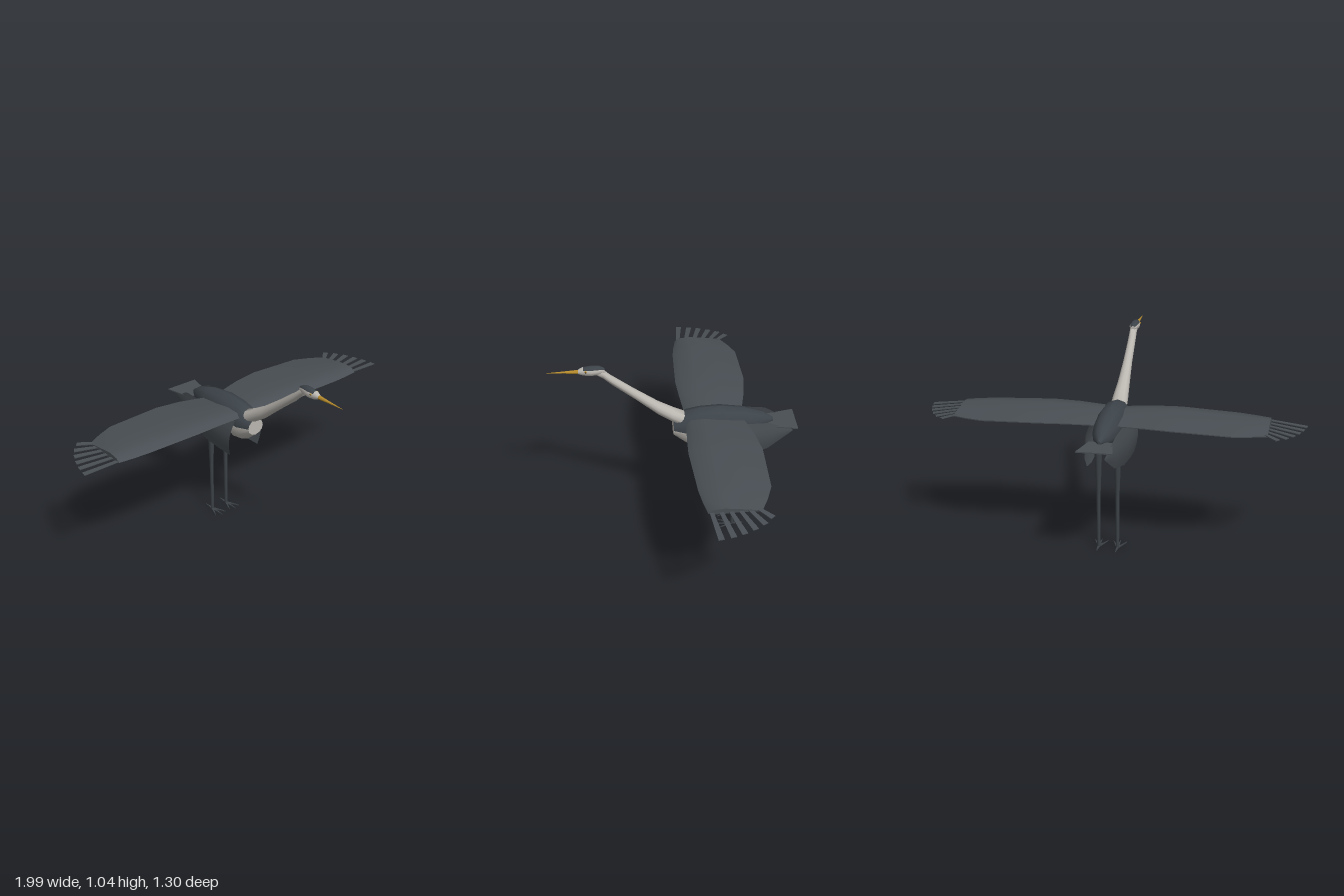
import * as THREE from 'three';
import { toCreasedNormals } from 'three/addons/utils/BufferGeometryUtils.js';

const flat = (name, color, side = THREE.FrontSide) => {
  const m = new THREE.MeshStandardMaterial({ color, side });
  m.name = name;
  return m;
};

// Capped skin over rings of [x, y, z]; isSecond(i, j) sends faces to material 1
function loft(rings, { flip = false, crease = 0.7, isSecond = () => false } = {}) {
  const n = rings[0].length;
  const position = rings.flatMap(r => (flip ? [...r].reverse() : r).flat());
  const faces = [[], []];
  for (let i = 0; i < rings.length - 1; i++) {
    for (let j = 0; j < n; j++) {
      const k = (j + 1) % n, f = i * n, b = f + n;
      faces[isSecond(i, j) ? 1 : 0].push(f + j, b + j, b + k, f + j, b + k, f + k);
    }
  }
  const last = (rings.length - 1) * n;
  for (let j = 1; j < n - 1; j++) {
    faces[isSecond(0, n - 1) ? 1 : 0].push(0, j, j + 1);
    faces[0].push(last, last + j + 1, last + j);
  }
  const g = new THREE.BufferGeometry();
  g.setAttribute('position', new THREE.Float32BufferAttribute(position, 3));
  g.setIndex([...faces[0], ...faces[1]]);
  const out = toCreasedNormals(g, crease);
  out.clearGroups();
  out.addGroup(0, faces[0].length, 0);
  out.addGroup(faces[0].length, faces[1].length, 1);
  return out;
}

// Elliptical rings from [z, y, halfWidth, halfHeight], listed front to back
const ovals = (sections, n = 12) => sections.map(([z, y, rx, ry]) =>
  Array.from({ length: n }, (_, j) => {
    const a = (j / n) * Math.PI * 2;
    return [rx * Math.cos(a), y + ry * Math.sin(a), z];
  }));

// Thin horizontal plate from [x, z] corners
function plate(corners, thick) {
  const shape = new THREE.Shape(corners.map(([x, z]) => new THREE.Vector2(x, -z)));
  return new THREE.ExtrudeGeometry(shape, { depth: thick, bevelEnabled: false }).rotateX(-Math.PI / 2);
}

// Straight tapering strip between two [x, z] points
function strip(a, b, wa, wb, thick) {
  const dx = b[0] - a[0], dz = b[1] - a[1], l = Math.hypot(dx, dz);
  const nx = -dz / l / 2, nz = dx / l / 2;
  return plate([[a[0] + nx * wa, a[1] + nz * wa], [b[0] + nx * wb, b[1] + nz * wb],
    [b[0] - nx * wb, b[1] - nz * wb], [a[0] - nx * wa, a[1] - nz * wa]], thick);
}

// Curved hanging side panel, bulging outward between its top and bottom edges
function sidePanel(s) {
  // zTop, yTop, xTop, bulge, zBottom, yBottom, xBottom
  const ribs = [
    [-0.07, 0.68, 0.085, 0.022, -0.10, 0.465, 0.096],
    [-0.20, 0.69, 0.09, 0.022, -0.20, 0.465, 0.094],
    [-0.33, 0.69, 0.09, 0.02, -0.33, 0.47, 0.086],
    [-0.50, 0.68, 0.075, 0.012, -0.50, 0.515, 0.07],
    [-0.635, 0.615, 0.05, 0, -0.635, 0.605, 0.05],
  ];
  const steps = 5, pos = [], idx = [], lerp = THREE.MathUtils.lerp;
  ribs.forEach(([zt, yt, xt, bulge, zb, yb, xb], i) => {
    for (let j = 0; j <= steps; j++) {
      const t = j / steps;
      pos.push(s * (lerp(xt, xb, t) + bulge * Math.sin(Math.PI * t)), lerp(yt, yb, t), lerp(zt, zb, t));
      if (i && j) {
        const d = i * (steps + 1) + j, c = d - 1, b = d - steps - 1, a = b - 1;
        idx.push(...(s > 0 ? [a, b, d, a, d, c] : [a, d, b, a, c, d]));
      }
    }
  });
  const g = new THREE.BufferGeometry();
  g.setAttribute('position', new THREE.Float32BufferAttribute(pos, 3));
  g.setIndex(idx);
  g.computeVertexNormals();
  return g;
}

export function createModel() {
  const slate = flat('slate feathers', 0x484e53);
  const slateSheet = flat('slate side feathers', 0x484e53, THREE.DoubleSide);
  const dark = flat('dark back', 0x3c4349);
  const pale = flat('pale grey', 0xbab6b0);
  const legGrey = flat('leg grey', 0x3c4247);
  const ochre = flat('ochre bill', 0xb58a2c);
  const black = flat('pupil black', 0x151515);

  const model = new THREE.Group();
  const add = (name, geometry, material, parent = model) => {
    const m = new THREE.Mesh(geometry, material);
    m.name = name;
    parent.add(m);
    return m;
  };

  // Body with a pale breast
  add('body', loft(ovals([
    [0, 0.645, 0.05, 0.045], [-0.07, 0.64, 0.076, 0.095], [-0.14, 0.642, 0.08, 0.108],
    [-0.25, 0.645, 0.08, 0.11], [-0.38, 0.65, 0.068, 0.085], [-0.48, 0.655, 0.042, 0.048],
    [-0.535, 0.655, 0.008, 0.01],
  ]), { isSecond: (i, j) => i < 2 && j >= 6 }), [dark, pale]);

  // Neck
  add('neck', loft(ovals([
    [0.40, 1.01, 0.02, 0.018], [0.36, 0.99, 0.02, 0.025], [0.32, 0.953, 0.021, 0.026],
    [0.2, 0.86, 0.025, 0.029], [0.08, 0.767, 0.034, 0.037], [0, 0.718, 0.042, 0.04],
    [-0.06, 0.685, 0.045, 0.045],
  ]), { crease: 1.2 }), pale);

  // Head with a dark crown
  add('head', loft(ovals([
    [0.487, 1.01, 0.011, 0.012], [0.46, 1.012, 0.021, 0.023], [0.42, 1.012, 0.027, 0.027],
    [0.38, 1.014, 0.024, 0.024], [0.352, 1.012, 0.012, 0.012],
  ]), { isSecond: (i, j) => i > 0 && j >= 1 && j <= 4 }), [pale, dark]);

  // Bill
  add('bill', loft(ovals([
    [0.65, 1.01, 0.001, 0.001], [0.56, 1.01, 0.006, 0.006], [0.475, 1.01, 0.012, 0.011],
  ], 8)), ochre);

  // Tail
  add('tail', plate([[0.06, -0.5], [-0.06, -0.5], [-0.093, -0.655], [0.093, -0.655]], 0.006), slate)
    .position.y = 0.643;

  // Wing outline: x, leading z, trailing z, y; and its section from the trailing edge round
  const stations = [
    [0.81, -0.09, -0.35, 0.683], [0.73, -0.073, -0.388, 0.688], [0.64, -0.06, -0.42, 0.693],
    [0.34, -0.045, -0.425, 0.702], [0.2, -0.052, -0.405, 0.7], [0.04, -0.065, -0.37, 0.69],
  ];
  const section = [[0, 0.001], [0.35, 0.014], [0.7, 0.025], [0.92, 0.018], [1, 0],
    [0.85, -0.007], [0.5, -0.004], [0, -0.004]];
  const tips = [[0.995, -0.13], [0.983, -0.19], [0.965, -0.245], [0.94, -0.3], [0.908, -0.35], [0.865, -0.393]];

  for (const s of [1, -1]) {
    const side = s > 0 ? 'left' : 'right';

    const wing = new THREE.Group();
    wing.name = side + 'Wing';
    model.add(wing);
    add(side + 'WingPanel', loft(stations.map(([x, lead, trail, y]) =>
      section.map(([t, h]) => [s * x, y + h, trail + (lead - trail) * t])), { flip: s < 0 }), slate, wing);

    // Spread wing-tip feathers, drooping slightly
    tips.forEach((tip, i) => {
      const f = add(side + 'TipFeather' + (i + 1),
        strip([0, -0.105 - i * 0.046], [s * (tip[0] - 0.8), tip[1]], 0.02, 0.03, 0.004), slate, wing);
      f.position.set(s * 0.8, 0.684, 0);
      f.rotation.z = -s * 0.085;
    });

    add(side + 'SideFeathers', sidePanel(s), slateSheet);

    // Eye
    add(side + 'Eye', new THREE.SphereGeometry(0.006, 10, 8), ochre).position.set(s * 0.021, 1.018, 0.448);
    add(side + 'Pupil', new THREE.SphereGeometry(0.003, 8, 6), black).position.set(s * 0.0255, 1.018, 0.449);

    // Leg and foot
    const leg = new THREE.Group();
    leg.name = side + 'Leg';
    leg.position.set(s * 0.05, 0, -0.325);
    model.add(leg);
    add(side + 'Thigh', new THREE.CylinderGeometry(0.022, 0.011, 0.28, 8), legGrey, leg).position.y = 0.44;
    add(side + 'Shank', new THREE.CylinderGeometry(0.011, 0.009, 0.3, 8), legGrey, leg).position.y = 0.153;
    [[0, 0.09], [0.035, 0.075], [-0.035, 0.075], [0, -0.06]].forEach((end, i) =>
      add(side + 'Toe' + (i + 1), strip([0, 0], end, 0.014, 0.002, 0.005), legGrey, leg));
  }
  return model;
}
